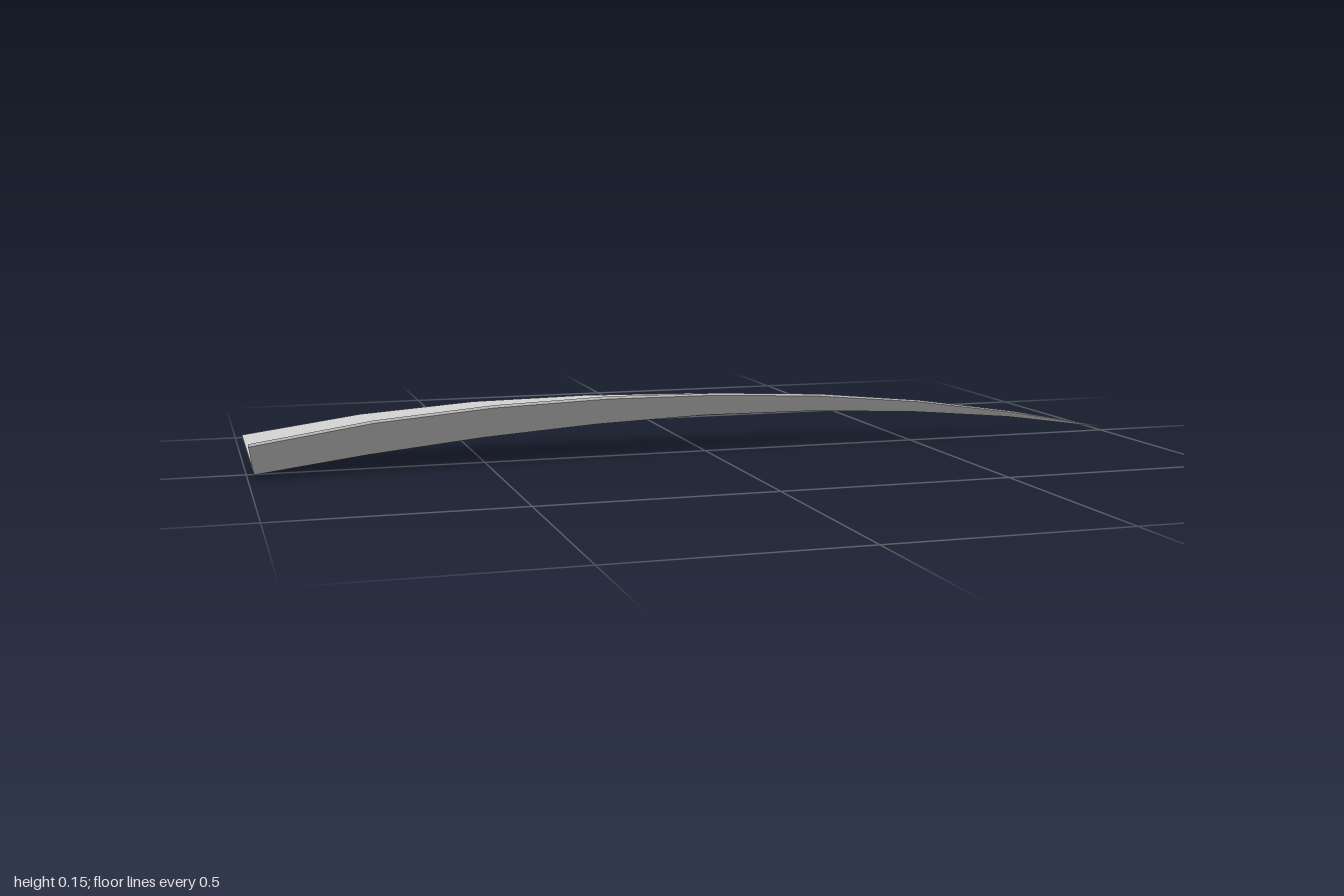
import * as THREE from 'three';

// Stations from the cut base to the tip: x, spine y, spine z, thickness
const SPINE = [
  [-0.985, 0.006, 0.006, 0.006], [-0.75, 0.036, 0.004, 0.006], [-0.5, 0.061, 0.002, 0.006],
  [-0.25, 0.078, 0, 0.006], [0, 0.086, -0.001, 0.005], [0.25, 0.084, -0.001, 0.005],
  [0.5, 0.071, 0, 0.004], [0.75, 0.047, 0.002, 0.003], [1, 0.009, 0.006, 0.001],
];
// Outer edge of each half: z, y at every station
const FRONT_EDGE = [[0.135, 0.086], [0.13, 0.122], [0.118, 0.141], [0.1, 0.147], [0.078, 0.141],
  [0.057, 0.126], [0.037, 0.099], [0.02, 0.06], [0.007, 0.01]];
const BACK_EDGE = [[-0.13, 0.064], [-0.135, 0.097], [-0.131, 0.115], [-0.115, 0.121], [-0.096, 0.118],
  [-0.077, 0.105], [-0.055, 0.083], [-0.029, 0.052], [0.005, 0.01]];

// One thin half of the blade, lofted through four-cornered sections
function bladeHalf(edge, flip) {
  const rings = SPINE.map(([x, y, z, t], i) => {
    const [ez, ey] = edge[i];
    const ex = i === 0 ? -1 : x;
    return [[x, y, z], [ex, ey, ez], [ex, ey - t, ez], [x, y - t, z]];
  });
  const pos = [];
  const quad = (a, b, c, d) => {
    const order = flip ? [a, c, b, a, d, c] : [a, b, c, a, c, d];
    order.forEach((p) => pos.push(...p));
  };
  // Upper face, rim and underside
  for (let i = 0; i < rings.length - 1; i++) {
    for (let k = 0; k < 3; k++) {
      quad(rings[i][k], rings[i][k + 1], rings[i + 1][k + 1], rings[i + 1][k]);
    }
  }
  // Cut base
  const r = rings[0];
  quad(r[0], r[3], r[2], r[1]);
  const geo = new THREE.BufferGeometry();
  geo.setAttribute('position', new THREE.Float32BufferAttribute(pos, 3));
  geo.computeVertexNormals();
  return geo;
}

export function createModel() {
  const group = new THREE.Group();
  group.name = 'leafBlade';
  const grey = new THREE.MeshStandardMaterial({ color: 0xc8c8c8 });
  grey.name = 'lightGrey';

  const halves = [['frontHalf', FRONT_EDGE, false], ['backHalf', BACK_EDGE, true]];
  for (const [name, edge, flip] of halves) {
    const mesh = new THREE.Mesh(bladeHalf(edge, flip), grey);
    mesh.name = name;
    group.add(mesh);
  }
  return group;
}
